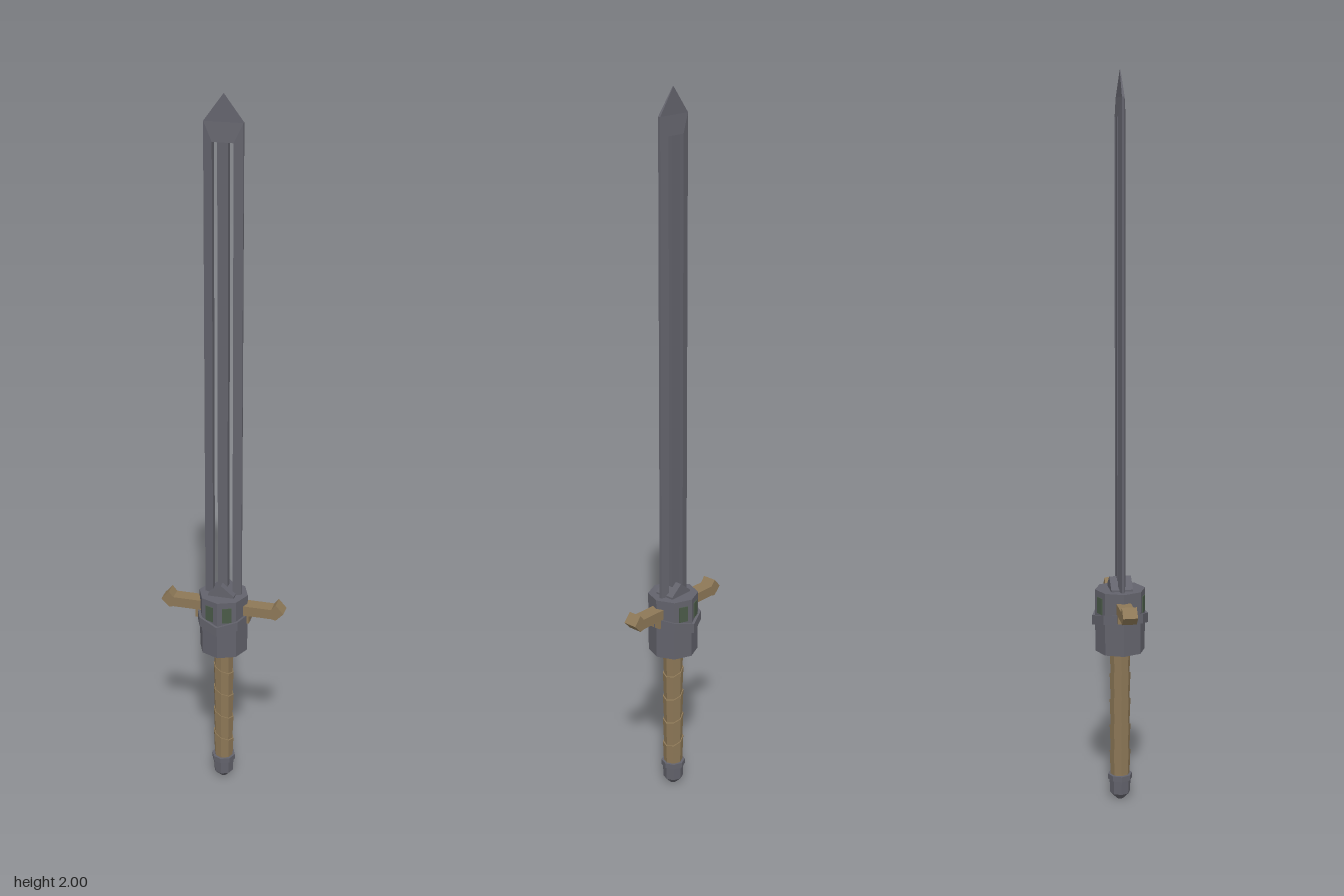
import * as THREE from 'three';

const mat = (name, color) => {
  const m = new THREE.MeshStandardMaterial({ color, flatShading: true });
  m.name = name;
  return m;
};

export function createModel() {
  const steel = mat('steel', 0x63636c);
  const leather = mat('tan leather', 0x8d7857);
  const green = mat('dull green', 0x4a5a48);
  const group = new THREE.Group();

  const add = (name, geometry, material) => {
    const mesh = new THREE.Mesh(geometry, material);
    mesh.name = name;
    group.add(mesh);
    return mesh;
  };
  // Octagonal drum between two heights
  const drum = (r0, r1, y0, y1) =>
    new THREE.CylinderGeometry(r1, r0, y1 - y0, 8).translate(0, (y0 + y1) / 2, 0);
  // Move every vertex by a rule
  const bend = (geometry, rule) => {
    const p = geometry.attributes.position;
    const v = new THREE.Vector3();
    for (let i = 0; i < p.count; i++) {
      rule(v.fromBufferAttribute(p, i));
      p.setXYZ(i, v.x, v.y, v.z);
    }
    geometry.computeVertexNormals();
    return geometry;
  };
  const outline = (points) => new THREE.Shape(points.map(([x, y]) => new THREE.Vector2(x, y)));
  // Extrude centred on z = 0
  const slab = (shape, depth) =>
    new THREE.ExtrudeGeometry(shape, { depth, bevelEnabled: false }).translate(0, 0, -depth / 2);

  // Blade: two long slots, thinned towards its edges and tip
  const blade = outline([[-0.052, 0.6], [0.052, 0.6], [0.052, 1.93], [0, 2], [-0.052, 1.93]]);
  for (const s of [-1, 1]) {
    blade.holes.push(outline([[s * 0.014, 0.605], [s * 0.014, 1.88], [s * 0.028, 1.88], [s * 0.028, 0.605]]));
  }
  add('blade', bend(slab(blade, 0.02), (v) => {
    if (v.y > 1.99) v.z *= 0.1;
    else if (Math.abs(v.x) > 0.05) v.z *= 0.35;
  }), steel);

  // Gabled collar where the blade meets the housing
  add('bladeCollar', slab(outline([[-0.037, 0.605], [0.037, 0.605], [0.037, 0.615], [0, 0.645], [-0.037, 0.615]]), 0.06), steel);

  // Octagonal housing with a band that dips at front and back
  add('housing', drum(0.069, 0.07, 0.435, 0.61), steel);
  add('housingBand', bend(drum(0.078, 0.078, 0.51, 0.537), (v) => {
    v.y += Math.abs(v.x) * 0.25;
  }), steel);

  // Green inlays on the four faces beside the front and back corners
  for (let i = 0; i < 4; i++) {
    const angle = [1, -1, 7, -7][i] * Math.PI / 8;
    const plate = add('housingInlay', new THREE.BoxGeometry(0.026, 0.045, 0.005), green);
    plate.position.set(Math.sin(angle) * 0.0645, 0.57, Math.cos(angle) * 0.0645);
    plate.rotation.y = angle;
  }

  // Cross guard arms with upturned, pointed ends
  const arm = outline([[0.04, 0.555], [0.142, 0.555], [0.155, 0.552], [0.177, 0.575],
    [0.155, 0.6], [0.142, 0.584], [0.04, 0.584]]);
  for (const turn of [0, Math.PI]) {
    add('guardArm', slab(arm, 0.04).rotateY(turn), leather);
    add('guardPeg', new THREE.BoxGeometry(0.025, 0.026, 0.036).translate(0.065, 0.543, 0).rotateY(turn), leather);
  }

  // Grip core and slanting, overlapping wraps
  add('gripCore', drum(0.026, 0.026, 0.06, 0.44), leather);
  const wraps = 5;
  const step = 0.375 / wraps;
  for (let i = 0; i < wraps; i++) {
    const y = 0.067 + i * step;
    add('gripWrap', bend(drum(0.0265, 0.0295, y, y + step), (v) => {
      v.y -= v.x * 0.45;
    }), leather);
  }

  // Pommel
  add('pommelRing', drum(0.034, 0.034, 0.058, 0.073), steel);
  add('pommel', drum(0.028, 0.03, 0.018, 0.06), steel);
  add('pommelTip', drum(0.01, 0.028, 0, 0.018), steel);

  return group;
}
